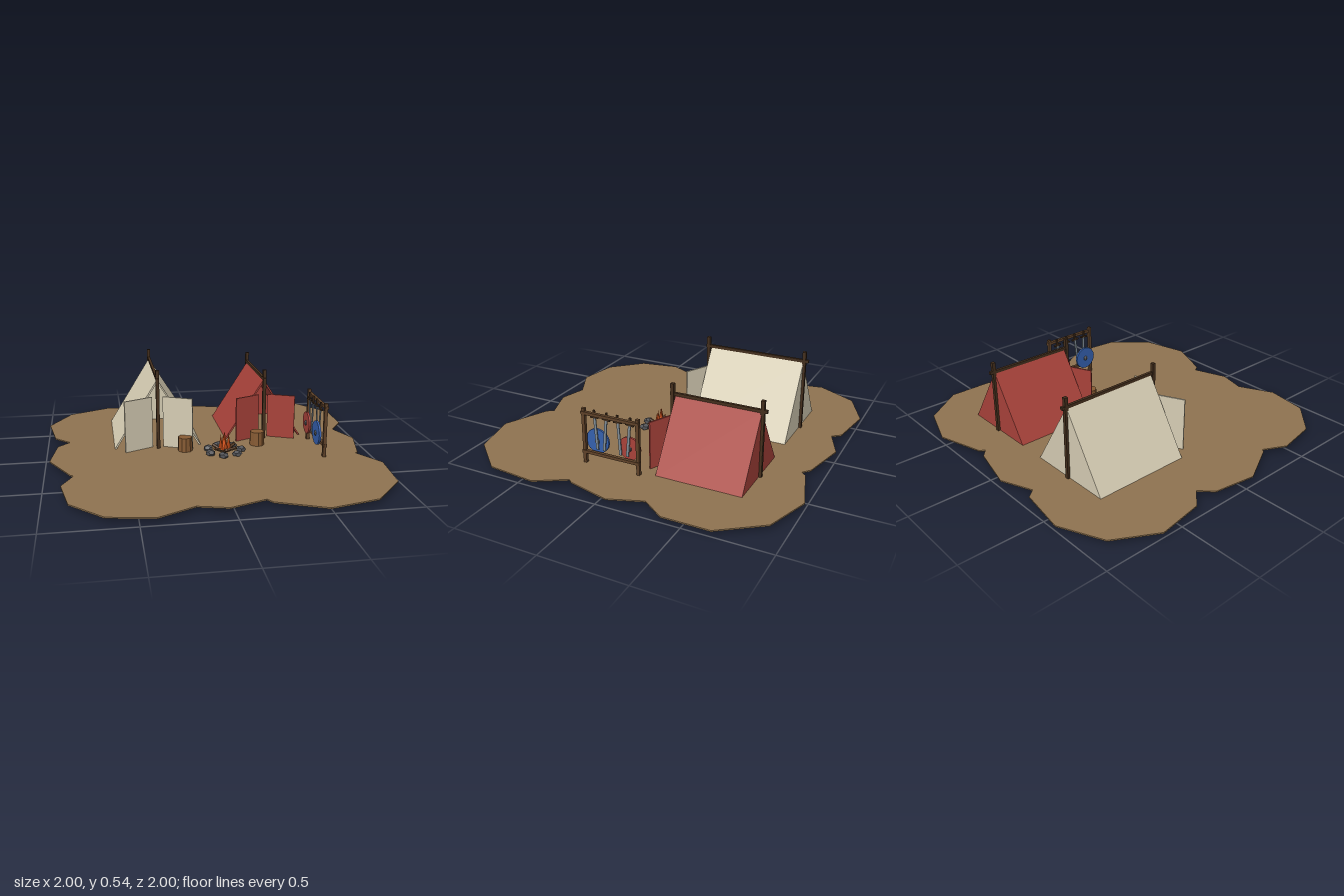
import * as THREE from 'three';

const mat = (name, color) => {
  const m = new THREE.MeshStandardMaterial({ color, flatShading: true });
  m.name = name;
  return m;
};

export function createModel() {
  const earth = mat('earth', 0x8f7350), cream = mat('cream canvas', 0xd6cdb4), red = mat('red canvas', 0xa8423a);
  const blue = mat('blue paint', 0x3560ad), darkWood = mat('dark wood', 0x432e1c), wood = mat('wood', 0x5e4128);
  const stump = mat('stump wood', 0x875b33), stone = mat('stone', 0x55565a), steel = mat('steel', 0x7f8b94);
  const flame = mat('flame', 0xd4531a);

  const root = new THREE.Group();
  const add = (parent, name, geo, material, x = 0, y = 0, z = 0) => {
    const m = new THREE.Mesh(geo, material);
    m.name = name;
    m.position.set(x, y, z);
    parent.add(m);
    return m;
  };
  const group = (name, x = 0, y = 0, z = 0) => {
    const g = new THREE.Group();
    g.name = name;
    g.position.set(x, y, z);
    root.add(g);
    return g;
  };
  const shape = (pts) => new THREE.Shape(pts.map(([x, y]) => new THREE.Vector2(x, y)));
  const extrude = (pts, depth) => new THREE.ExtrudeGeometry(shape(pts), { depth, bevelEnabled: false });
  const box = (x, y, z) => new THREE.BoxGeometry(x, y, z);
  const floor = 0.033;

  // Ragged patch of earth, outlined in x and z
  const ground = extrude([
    [-0.6, -1], [-0.31, -0.955], [-0.27, -0.905], [-0.08, -0.985], [0.2, -0.92], [0.245, -0.88], [0.27, -0.91],
    [0.55, -0.995], [0.82, -0.905], [0.995, -0.665], [0.995, -0.385], [0.9, -0.25], [0.975, -0.05], [0.91, 0.21],
    [0.89, 0.23], [0.995, 0.41], [0.965, 0.71], [0.77, 0.93], [0.48, 1], [0.205, 0.88], [0.18, 0.84],
    [-0.03, 0.915], [-0.2, 0.87], [-0.41, 0.975], [-0.67, 0.93], [-0.855, 0.74], [-0.9, 0.485], [-0.83, 0.345],
    [-0.85, 0.33], [-0.975, 0.085], [-0.935, -0.175], [-0.86, -0.25], [-0.955, -0.345], [-1, -0.63], [-0.86, -0.88],
  ], 0.008);
  ground.rotateX(Math.PI / 2);
  add(root, 'ground', ground, earth, 0, floor, 0);

  // Ridge tents: open front with two flaps, closed back, poles at both ends
  const tent = (name, cloth, { x, half, ridge, back, front, poleTop, flapHeight, flapIn, flapOut, flapDz }) => {
    const g = group(name, x);
    const base = 0.025, t = 0.012;
    const roof = [[-half, base], [0, ridge], [half, base], [half - t, base], [0, ridge - t * 1.6], [t - half, base]];
    add(g, 'roof', extrude(roof, front - back), cloth, 0, 0, back);
    add(g, 'backWall', extrude([[t - half, base], [half - t, base], [0, ridge - t * 1.6]], 0.01), cloth, 0, 0, back);
    for (const s of [-1, 1]) {
      const w = flapOut - flapIn;
      const flap = add(g, 'flap', box(Math.hypot(w, flapDz), flapHeight, 0.01), cloth,
        s * (flapIn + flapOut) / 2, flapHeight / 2, front + flapDz / 2 - 0.01);
      flap.rotation.y = -s * Math.atan2(flapDz, w);
    }
    for (const z of [back - 0.005, front + 0.018])
      add(g, 'pole', box(0.021, poleTop - 0.03, 0.021), darkWood, 0, (poleTop + 0.03) / 2, z);
    add(g, 'ridgePole', box(0.017, 0.018, front - back + 0.065), darkWood, 0, ridge + 0.004, (front + back) / 2);
  };
  tent('creamTent', cream, {
    x: -0.306, half: 0.278, ridge: 0.472, back: -0.685, front: -0.075,
    poleTop: 0.535, flapHeight: 0.36, flapIn: 0.035, flapOut: 0.21, flapDz: 0.085,
  });
  tent('redTent', red, {
    x: 0.394, half: 0.256, ridge: 0.424, back: -0.685, front: -0.17,
    poleTop: 0.49, flapHeight: 0.32, flapIn: 0.03, flapOut: 0.193, flapDz: 0.075,
  });

  // Stump seats
  for (const [x, z] of [[-0.145, 0.012], [0.322, -0.027]])
    add(root, 'stumpSeat', new THREE.CylinderGeometry(0.044, 0.046, 0.09, 10), stump, x, floor + 0.043, z);

  // Campfire: ring of stones, star of logs, cluster of flames
  const fire = group('campfire', 0.09, floor, 0.087);
  for (let i = 0; i < 7; i++) {
    const a = (i / 7) * Math.PI * 2;
    const s = add(fire, 'stone', new THREE.DodecahedronGeometry(0.032), stone,
      Math.cos(a) * 0.104, 0.016, Math.sin(a) * 0.104);
    s.scale.set(1, 0.65, 0.95);
    s.rotation.y = -a + i * 0.4;
  }
  for (let i = 0; i < 6; i++) {
    const log = new THREE.CylinderGeometry(0.01, 0.011, 0.085, 6);
    log.rotateZ(1.15).translate(-0.04, 0.023, 0);
    add(fire, 'log', log, wood).rotation.y = (i / 6) * Math.PI * 2 + 0.5;
  }
  for (const [x, z, r, h] of [[0, 0, 0.024, 0.135], [-0.025, 0.008, 0.017, 0.12], [0.025, 0.006, 0.017, 0.125],
    [0.004, 0.026, 0.016, 0.1], [-0.004, -0.026, 0.016, 0.105]])
    add(fire, 'flame', new THREE.ConeGeometry(r, h - 0.015, 5), flame, x, 0.015 + (h - 0.015) / 2, z);

  // Weapon rack
  const rack = group('weaponRack', 0.675);
  for (const z of [0.262, -0.083])
    add(rack, 'rackPost', box(0.02, 0.338, 0.02), wood, 0, 0.201, z);
  for (const y of [0.343, 0.104])
    add(rack, 'rackBar', box(0.02, 0.018, 0.37), wood, 0.004, y, 0.09);

  // Four hanging swords, leaning slightly
  [0.2, 0.125, 0.05, -0.025].forEach((z, i) => {
    const sword = new THREE.Group();
    sword.name = 'sword';
    sword.position.set(-0.013, 0.32, z);
    sword.rotation.x = i % 2 ? -0.1 : 0.06;
    rack.add(sword);
    add(sword, 'blade', box(0.006, 0.2, 0.016), steel, 0, -0.1, 0);
    add(sword, 'guard', box(0.013, 0.01, 0.052), darkWood);
    add(sword, 'grip', box(0.011, 0.04, 0.011), darkWood, 0, 0.022, 0);
  });

  // Round shields with bosses
  for (const [z, r, paint] of [[0.195, 0.075, blue], [-0.012, 0.07, red]]) {
    const disc = new THREE.CylinderGeometry(r, r, 0.013, 16).rotateZ(Math.PI / 2);
    add(rack, 'shield', disc, paint, -0.03, 0.167, z);
    add(rack, 'shieldBoss', new THREE.SphereGeometry(0.018, 8, 6), stone, -0.03, 0.165, z);
  }
  return root;
}
